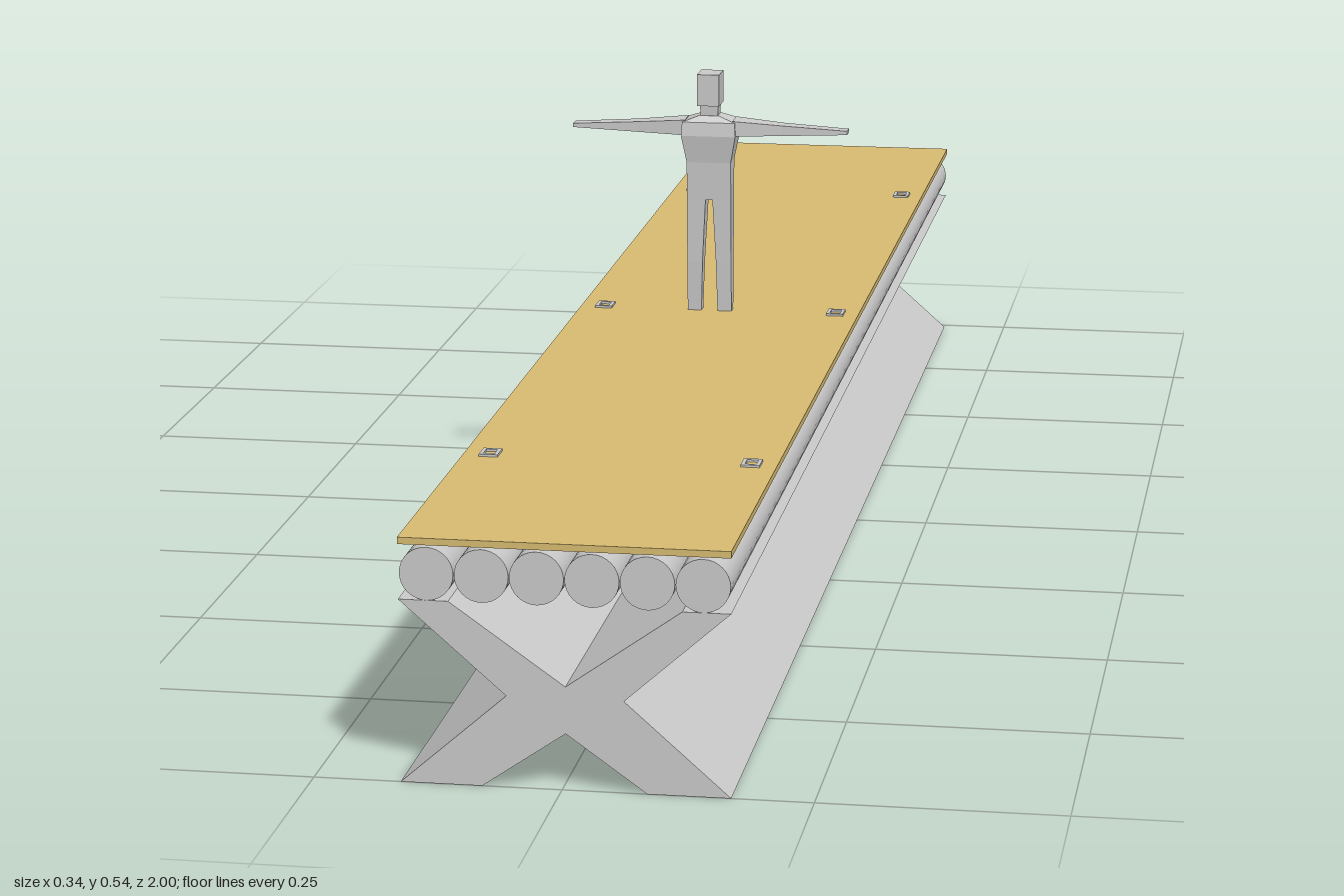
import * as THREE from 'three';

const grey = new THREE.MeshStandardMaterial({ color: 0xcccccc });
const greyFlat = new THREE.MeshStandardMaterial({ color: 0xcccccc, flatShading: true });
const tan = new THREE.MeshStandardMaterial({ color: 0xd9bc72 });

const FRONT = 1, BACK = -0.99;
const LENGTH = FRONT - BACK, MID = (FRONT + BACK) / 2;

function add(parent, name, geometry, material, x = 0, y = 0, z = 0) {
  const mesh = new THREE.Mesh(geometry, material);
  mesh.name = name;
  mesh.position.set(x, y, z);
  parent.add(mesh);
  return mesh;
}

// Closed loft through rectangles [t, a0, a1, z0, z1], t rising along y (or along x)
function loft(rings, alongX = false) {
  const pos = [], idx = [];
  for (const [t, a0, a1, z0, z1] of rings) {
    for (const [a, z] of [[a0, z1], [a1, z1], [a1, z0], [a0, z0]]) {
      if (alongX) pos.push(t, a, z);
      else pos.push(a, t, z);
    }
  }
  const face = (a, b, c) => (alongX ? idx.push(a, c, b) : idx.push(a, b, c));
  const n = rings.length - 1;
  for (let i = 0; i < n; i++) {
    for (let j = 0; j < 4; j++) {
      const a = i * 4 + j, b = i * 4 + (j + 1) % 4;
      face(a, b, b + 4);
      face(a, b + 4, a + 4);
    }
  }
  face(0, 2, 1); face(0, 3, 2);
  const e = n * 4;
  face(e, e + 1, e + 2); face(e, e + 2, e + 3);
  const g = new THREE.BufferGeometry();
  g.setAttribute('position', new THREE.Float32BufferAttribute(pos, 3));
  g.setIndex(idx);
  g.computeVertexNormals();
  return g;
}

function createFigure() {
  const figure = new THREE.Group();
  figure.name = 'figure';
  figure.position.x = -0.008;

  add(figure, 'torso', loft([
    [0.385, -0.026, 0.026, -0.013, 0.012],
    [0.43, -0.026, 0.026, -0.015, 0.014],
    [0.462, -0.032, 0.032, -0.021, 0.019],
    [0.478, -0.031, 0.031, -0.021, 0.017],
    [0.485, -0.012, 0.012, -0.012, 0.01],
  ]), greyFlat);
  add(figure, 'neck', loft([
    [0.483, -0.01, 0.01, -0.01, 0.009],
    [0.5, -0.011, 0.011, -0.01, 0.01],
  ]), greyFlat);
  add(figure, 'head', new THREE.BoxGeometry(0.026, 0.037, 0.034), greyFlat, 0, 0.5165, 0.002);

  // Arms held straight out, thinning towards the hands
  add(figure, 'leftArm', loft([
    [0.028, 0.462, 0.48, -0.017, 0.015],
    [0.085, 0.4635, 0.4755, -0.01, 0.01],
    [0.162, 0.4665, 0.471, -0.008, 0.008],
  ], true), greyFlat);
  add(figure, 'rightArm', loft([
    [-0.162, 0.4665, 0.471, -0.008, 0.008],
    [-0.085, 0.4635, 0.4755, -0.01, 0.01],
    [-0.028, 0.462, 0.48, -0.017, 0.015],
  ], true), greyFlat);

  // Legs, the left one planted slightly lower
  const leg = (s, foot) => [
    [foot, 0.01, 0.026, -0.006, 0.006],
    [0.31, 0.008, 0.026, -0.01, 0.01],
    [0.387, 0.004, 0.026, -0.013, 0.012],
    [0.4, 0, 0.026, -0.013, 0.012],
  ].map(([y, a, b, z0, z1]) => (s > 0 ? [y, a, b, z0, z1] : [y, -b, -a, z0, z1]));
  add(figure, 'leftLeg', loft(leg(1, 0.225)), greyFlat);
  add(figure, 'rightLeg', loft(leg(-1, 0.24)), greyFlat);
  return figure;
}

export function createModel() {
  const model = new THREE.Group();
  model.name = 'raisedDeck';

  // X-shaped trestle running the whole length
  const cross = new THREE.Shape([
    [-0.162, 0], [-0.08, 0], [0.004, 0.058], [0.085, 0], [0.168, 0], [0.062, 0.094],
    [0.168, 0.188], [0.12, 0.188], [0.004, 0.106], [-0.112, 0.188], [-0.162, 0.188], [-0.055, 0.094],
  ].map(([x, y]) => new THREE.Vector2(x, y)));
  add(model, 'trestle', new THREE.ExtrudeGeometry(cross, { depth: LENGTH, bevelEnabled: false }), grey, 0, 0, BACK);

  // Row of six round logs
  const log = new THREE.CylinderGeometry(0.027, 0.027, LENGTH, 32).rotateX(Math.PI / 2);
  for (let i = 0; i < 6; i++) add(model, 'log', log, grey, -0.1335 + i * 0.0548, 0.215, MID);

  // Flat deck board
  add(model, 'deck', new THREE.BoxGeometry(0.33, 0.007, 2), tan, 0.003, 0.2475, 0);

  // Small square fasteners along both edges of the deck
  const ring = new THREE.Shape([[-0.01, -0.013], [0.01, -0.013], [0.01, 0.013], [-0.01, 0.013]]
    .map(([x, y]) => new THREE.Vector2(x, y)));
  ring.holes.push(new THREE.Path([[-0.006, -0.008], [-0.006, 0.008], [0.006, 0.008], [0.006, -0.008]]
    .map(([x, y]) => new THREE.Vector2(x, y))));
  const fastener = new THREE.ExtrudeGeometry(ring, { depth: 0.004, bevelEnabled: false }).rotateX(-Math.PI / 2);
  for (const x of [-0.134, 0.141]) {
    for (const z of [-0.68, 0, 0.68]) add(model, 'fastener', fastener, grey, x, 0.2495, z);
  }

  model.add(createFigure());
  return model;
}
